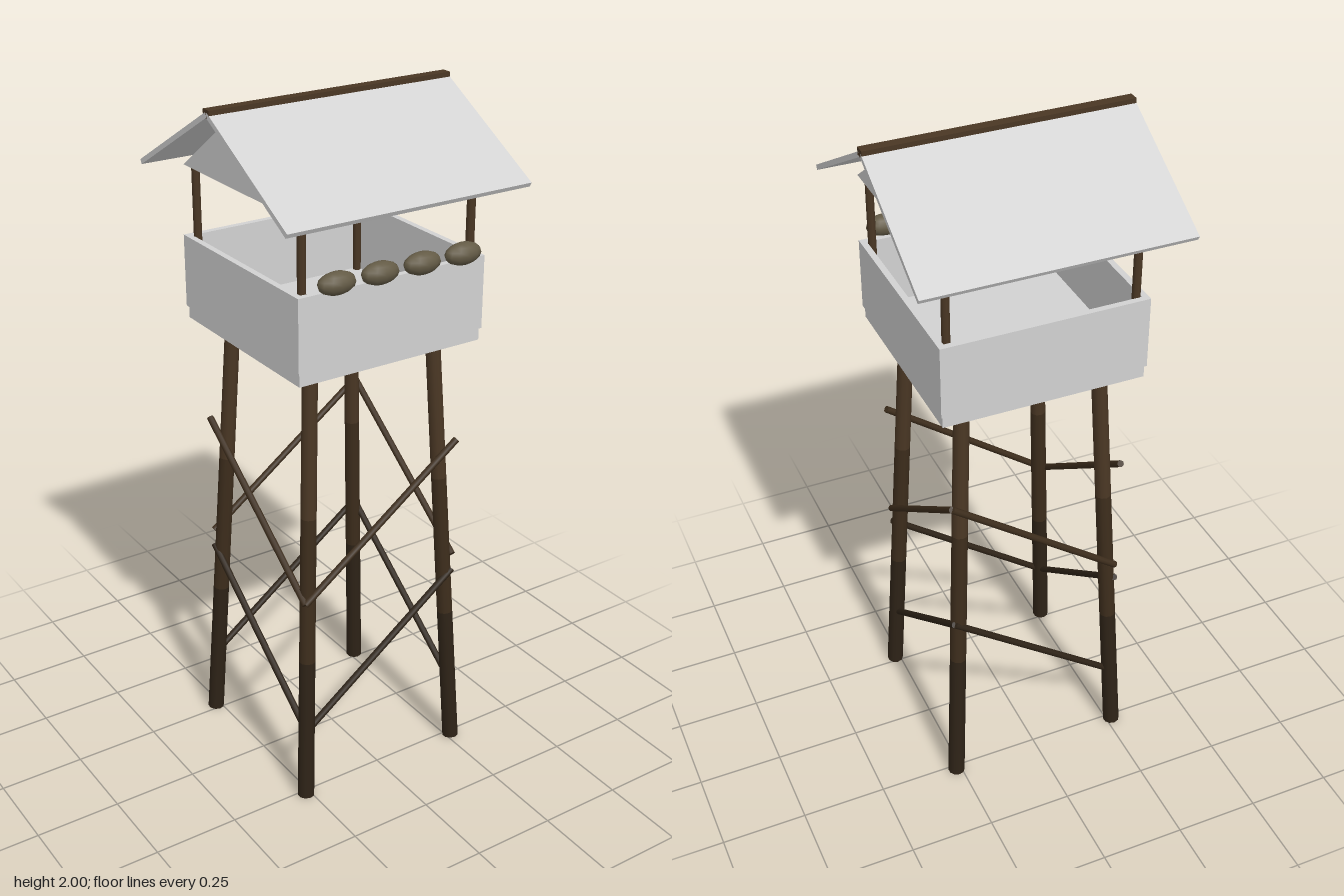
import * as THREE from 'three';

const mat = (name, color, extra = {}) => Object.assign(new THREE.MeshStandardMaterial({ color, ...extra }), { name });

export function createModel() {
  const model = new THREE.Group();
  model.name = 'watchtower';
  const panel = mat('pale grey panel', 0xd2d2d2);
  const wood = mat('brown wood', 0x4a3724);
  const midWood = mat('dark brown wood', 0x3d2d1c);
  const lowWood = mat('weathered dark wood', 0x2e2317);
  const sack = mat('olive sackcloth', 0x645b46);

  const add = (name, geometry, material, x = 0, y = 0, z = 0) => {
    const mesh = new THREE.Mesh(geometry, material);
    mesh.name = name;
    mesh.position.set(x, y, z);
    model.add(mesh);
    return mesh;
  };
  const box = (name, w, h, d, material, x, y, z) => add(name, new THREE.BoxGeometry(w, h, d), material, x, y, z);

  // Round pole between two points
  const up = new THREE.Vector3(0, 1, 0);
  const pole = (name, a, b, r0, r1, material, open = false) => {
    const dir = b.clone().sub(a);
    const mesh = add(name, new THREE.CylinderGeometry(r1, r0, dir.length(), 10, 1, open), material);
    mesh.position.copy(a).add(b).multiplyScalar(0.5);
    mesh.quaternion.setFromUnitVectors(up, dir.normalize());
  };

  // Splayed legs, darker towards the ground, and corner posts
  const tones = [lowWood, midWood, wood];
  for (const sx of [-1, 1]) for (const sz of [-1, 1]) {
    const foot = new THREE.Vector3(sx * 0.266, 0.002, sz * 0.266);
    const head = new THREE.Vector3(sx * 0.2, 1.345, sz * 0.2);
    tones.forEach((tone, i) => pole('leg', foot.clone().lerp(head, i / 3), foot.clone().lerp(head, (i + 1) / 3),
      0.025 - i * 0.001, 0.024 - i * 0.001, tone));
    add('roofPost', new THREE.CylinderGeometry(0.012, 0.012, 0.41, 8), wood, sx * 0.266, 1.575, sz * 0.266);
  }

  // Two diagonal braces on each side
  const e = 0.255;
  for (const [y0, y1, tone] of [[0.215, 0.595, lowWood], [0.645, 1.02, midWood]]) {
    for (const s of [-e, e]) {
      pole('crossBrace', new THREE.Vector3(-e, y0, s), new THREE.Vector3(e, y1, s), 0.01, 0.01, tone);
      pole('sideBrace', new THREE.Vector3(s, y0, e), new THREE.Vector3(s, y1, -e), 0.01, 0.01, tone);
    }
  }

  // Platform floor and parapet walls
  box('floor', 0.58, 0.04, 0.58, panel, 0, 1.35, 0);
  for (const s of [-1, 1]) {
    box('parapetWall', 0.59, 0.21, 0.018, panel, 0, 1.47, s * 0.286);
    box('parapetSideWall', 0.018, 0.21, 0.554, panel, s * 0.286, 1.47, 0);
  }

  // Gable panels
  const gable = new THREE.Shape([[-0.29, 1.775], [0.29, 1.775], [0, 1.982]].map(p => new THREE.Vector2(...p)));
  for (const s of [-1, 1]) {
    const g = new THREE.ExtrudeGeometry(gable, { depth: 0.012, bevelEnabled: false });
    g.translate(0, 0, -0.006).rotateY(Math.PI / 2);
    add('gable', g, panel, s * 0.283, 0, 0);
  }

  // Sloping roof sheets and ridge beam
  const run = 0.373, drop = 0.211;
  for (const s of [-1, 1]) {
    const sheet = box('roofSheet', 0.75, 0.014, Math.hypot(run, drop), panel, 0, 1.987 - drop / 2, s * run / 2);
    sheet.rotation.x = s * Math.atan2(drop, run);
  }
  box('ridgeBeam', 0.75, 0.022, 0.03, wood, 0, 1.989, 0);

  // Sandbags along the front wall
  for (let i = 0; i < 4; i++) {
    const bag = add('sandbag', new THREE.SphereGeometry(1, 12, 8), sack, -0.188 + i * 0.133, 1.6, 0.308);
    bag.scale.set(0.057, 0.031, 0.031);
  }
  return model;
}
